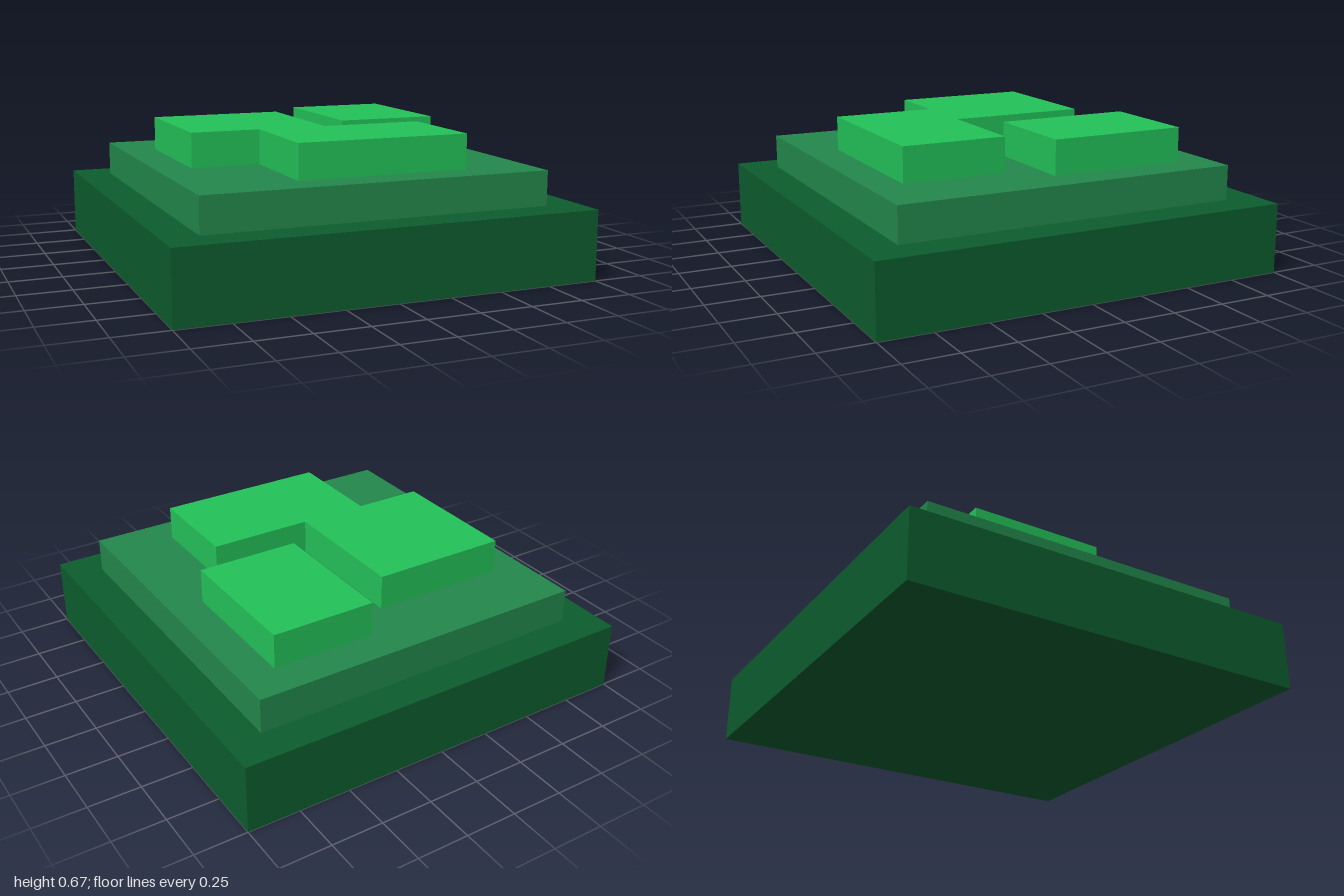
import * as THREE from 'three';

const U = 1 / 6; // grid unit: the base is 12 units wide

export function createModel() {
  const model = new THREE.Group();
  const darkGreen = new THREE.MeshStandardMaterial({ name: 'darkGreen', color: 0x0c5c2d });
  const midGreen = new THREE.MeshStandardMaterial({ name: 'midGreen', color: 0x23874b });
  const brightGreen = new THREE.MeshStandardMaterial({ name: 'brightGreen', color: 0x23c158 });

  // Slab with a plan outline of [x, z] points, from height y, all in grid units
  function slab(name, outline, y, height, material) {
    const shape = new THREE.Shape(outline.map(([x, z]) => new THREE.Vector2(x * U, -z * U)));
    const geometry = new THREE.ExtrudeGeometry(shape, { depth: height * U, bevelEnabled: false });
    geometry.rotateX(-Math.PI / 2);
    const mesh = new THREE.Mesh(geometry, material);
    mesh.name = name;
    mesh.position.y = y * U;
    model.add(mesh);
  }
  const rect = (x0, z0, x1, z1) => [[x0, z0], [x0, z1], [x1, z1], [x1, z0]];

  // Stepped square plinth
  slab('base', rect(-6, -6, 6, 6), 0, 2, darkGreen);
  slab('middleTier', rect(-5, -5, 5, 5), 2, 1, midGreen);

  // Raised patches: one stepped, one rectangular
  slab('steppedPatch', [[-4, -3], [-4, 1], [-2, 1], [-2, 4], [3, 4], [3, 1], [0, 1], [0, -3]], 3, 1, brightGreen);
  slab('smallPatch', rect(1, -4, 4, 0), 3, 1, brightGreen);

  return model;
}
